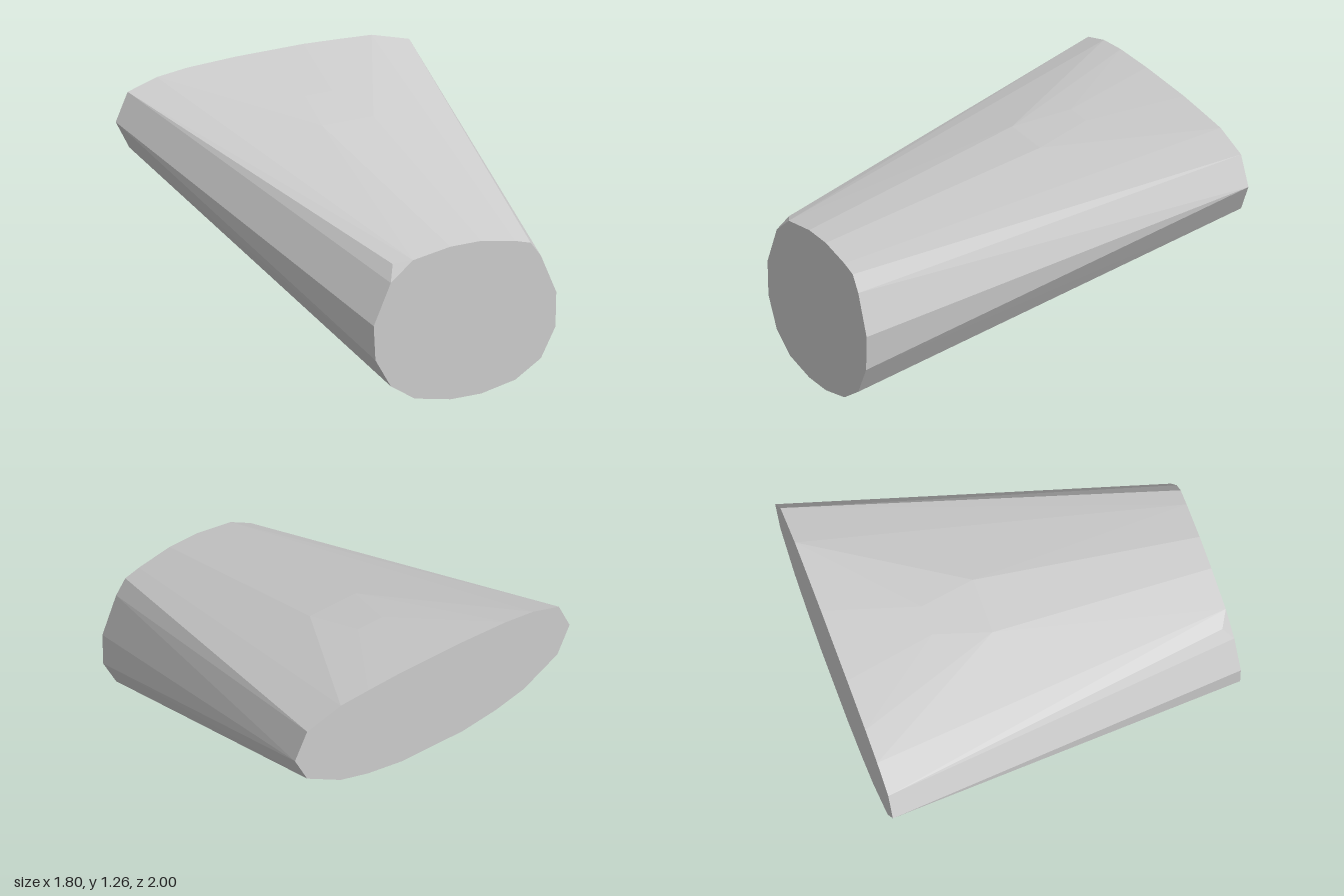
import * as THREE from 'three';
import { ConvexGeometry } from 'three/addons/geometries/ConvexGeometry.js';

// Small faceted outline at the front end, as [x, y]
const FRONT = [
  [-0.09, 0], [0.09, 0], [0.29, 0.04], [0.44, 0.13], [0.525, 0.285], [0.53, 0.47],
  [0.44, 0.68], [0.38, 0.76], [0.29, 0.785], [0.09, 0.82], [-0.09, 0.82],
  [-0.31, 0.785], [-0.44, 0.685], [-0.54, 0.47], [-0.53, 0.285], [-0.44, 0.13], [-0.30, 0.04],
];

// Wide, flattened outline at the raised back end
const BACK = [
  [-0.2, 0.69], [0.2, 0.69], [0.42, 0.72], [0.6, 0.765], [0.82, 0.88], [0.9, 1.03],
  [0.82, 1.18], [0.6, 1.24], [0.42, 1.25], [0.2, 1.26], [-0.2, 1.26], [-0.48, 1.25],
  [-0.66, 1.23], [-0.83, 1.18], [-0.9, 1.03], [-0.82, 0.88], [-0.6, 0.765], [-0.42, 0.72],
];

const atDepth = (outline, z) => outline.map(([x, y]) => new THREE.Vector3(x, y, z));

export function createModel() {
  const group = new THREE.Group();
  group.name = 'taperedBlock';

  // Convex skin stretched over both end outlines, with a gentle swell on top
  const points = [
    ...atDepth(FRONT, 1),
    ...atDepth(BACK, -1),
    ...atDepth([[-0.15, 1.12], [0.15, 1.12]], -0.2),
    ...atDepth([[-0.08, 1.18], [0.08, 1.18]], -0.5),
    // Small chipped facet on the front upper corner
    ...atDepth([[-0.4, 0.765]], 0.95),
  ];
  const body = new THREE.Mesh(
    new ConvexGeometry(points),
    new THREE.MeshStandardMaterial({ color: 0xcccccc, flatShading: true }),
  );
  body.name = 'body';
  group.add(body);
  return group;
}
